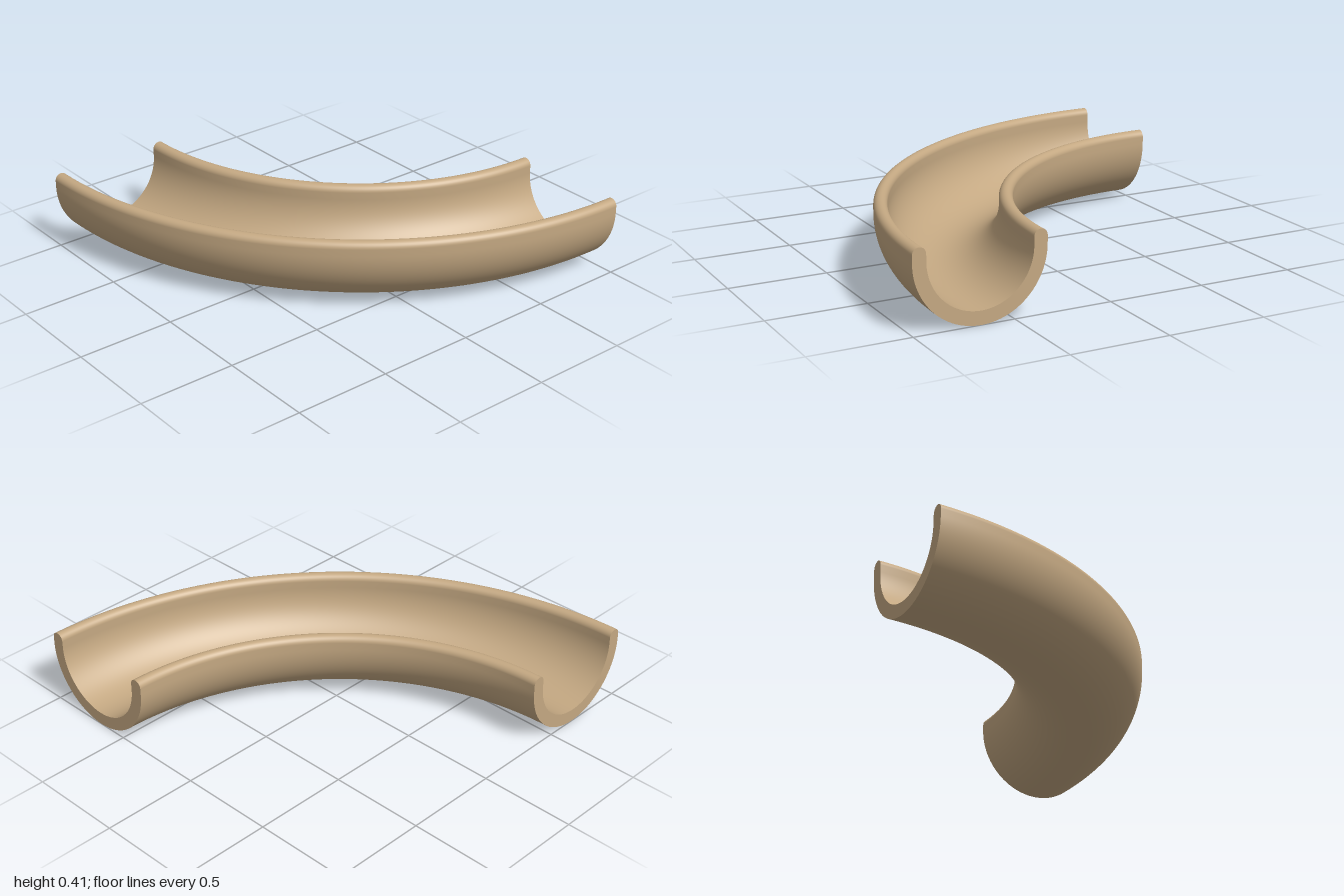
import * as THREE from 'three';

const MID = 1.667;     // radius of the channel's centre line
const OUTER = 0.333;   // outside radius of the channel
const INNER = 0.265;   // inside radius of the channel
const RIM_Y = 0.371;   // height where the rim rounding begins

// Closed U-shaped section, counter-clockwise, starting at the lowest point
function sectionPoints() {
  const pts = [];
  const arc = (cx, cy, r, a0, a1, n) => {
    for (let i = 0; i <= n; i++) {
      const a = a0 + (a1 - a0) * i / n;
      pts.push(new THREE.Vector2(cx + r * Math.cos(a), cy + r * Math.sin(a)));
    }
  };
  const rim = (OUTER - INNER) / 2, rimMid = (OUTER + INNER) / 2;
  arc(MID, OUTER, OUTER, -Math.PI / 2, 0, 32);            // outside, outer half
  arc(MID + rimMid, RIM_Y, rim, 0, Math.PI, 16);          // outer rounded rim
  arc(MID, OUTER, INNER, 0, -Math.PI, 64);                // inside of the trough
  arc(MID - rimMid, RIM_Y, rim, 0, Math.PI, 16);          // inner rounded rim
  arc(MID, OUTER, OUTER, -Math.PI, -Math.PI / 2, 32);     // outside, inner half
  return pts;
}

export function createModel() {
  const group = new THREE.Group();
  group.name = 'curvedChannel';
  const tan = new THREE.MeshStandardMaterial({ color: 0xc4a882 });
  tan.name = 'tan';

  const pts = sectionPoints();

  // Quarter-turn channel
  const channel = new THREE.Mesh(new THREE.LatheGeometry(pts, 96, 0, Math.PI / 2), tan);
  channel.name = 'channel';
  channel.position.set(-1, 0, -1);
  group.add(channel);

  // Flat cut ends
  const capGeometry = new THREE.ShapeGeometry(new THREE.Shape(pts.slice(0, -1)));
  const leftEnd = new THREE.Mesh(capGeometry, tan);
  leftEnd.name = 'backEnd';
  leftEnd.rotation.y = Math.PI; // the section is symmetric about MID
  leftEnd.position.set(-1 + 2 * MID, 0, -1);
  const rightEnd = new THREE.Mesh(capGeometry, tan);
  rightEnd.name = 'rightEnd';
  rightEnd.rotation.y = -Math.PI / 2;
  rightEnd.position.set(-1, 0, -1);
  group.add(leftEnd, rightEnd);

  return group;
}
